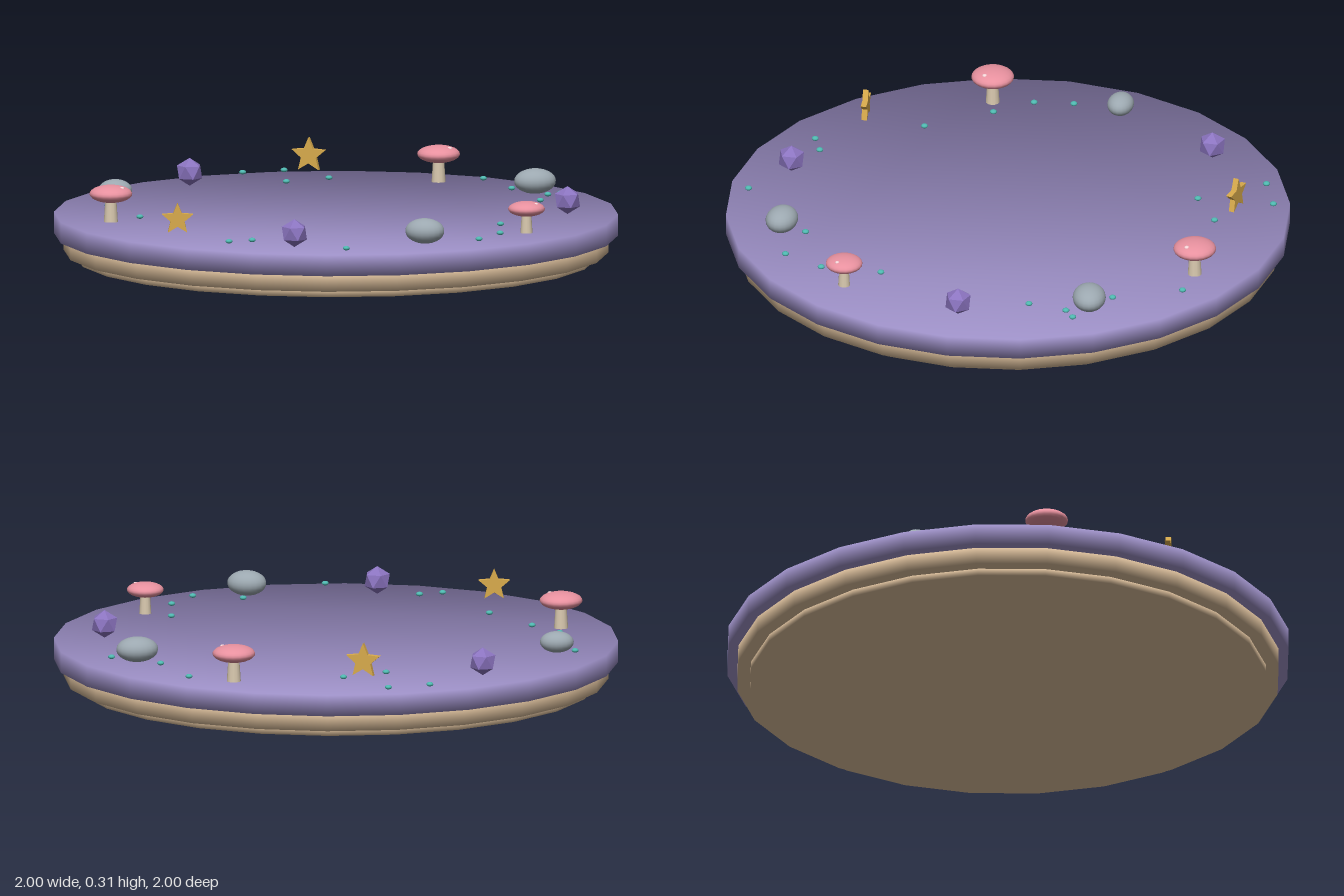
import * as THREE from 'three';

const mat = (color, opts = {}) => new THREE.MeshStandardMaterial({ color, ...opts });
const materials = {
  turf: mat(0x9b8ec4),
  earth: mat(0xd4b896),
  cap: mat(0xe8919f),
  stem: mat(0xd8c8ae),
  spot: mat(0xf6d5d8),
  stone: mat(0x9ca8b0),
  crystal: mat(0x8b74c0, { flatShading: true }),
  star: mat(0xd9ab4c),
  bead: mat(0x4fb8b0),
};
const GROUND = 0.162;

function add(parent, name, geometry, material, x = 0, y = 0, z = 0) {
  const mesh = new THREE.Mesh(geometry, material);
  mesh.name = name;
  mesh.position.set(x, y, z);
  parent.add(mesh);
  return mesh;
}

// 24-sided slab whose normals lean outwards at the rim, for a soft pillowy shading
function slab(radius, y0, y1) {
  const ring = Array.from({ length: 24 }, (_, i) => {
    const a = (i / 24) * Math.PI * 2;
    return new THREE.Vector2(Math.sin(a) * radius, Math.cos(a) * radius);
  });
  const geometry = new THREE.ExtrudeGeometry(new THREE.Shape(ring), { depth: y1 - y0, bevelEnabled: false });
  geometry.rotateX(-Math.PI / 2).translate(0, y0, 0);
  const p = geometry.attributes.position;
  const n = new THREE.Vector3();
  for (let i = 0; i < p.count; i++) {
    n.set(p.getX(i) / radius, p.getY(i) > (y0 + y1) / 2 ? 1 : -1, p.getZ(i) / radius).normalize();
    geometry.attributes.normal.setXYZ(i, n.x, n.y, n.z);
  }
  return geometry;
}

// Flattened or stretched ball
const ellipsoid = (rx, ry, rz) => new THREE.SphereGeometry(1, 20, 14).scale(rx, ry, rz);

function mushroom(x, z, size) {
  const group = new THREE.Group();
  group.name = 'mushroom';
  group.position.set(x, GROUND, z);
  group.scale.setScalar(size);
  add(group, 'mushroomStem', new THREE.CylinderGeometry(0.019, 0.025, 0.09, 12), materials.stem, 0, 0.045, 0);
  add(group, 'mushroomCap', ellipsoid(0.076, 0.031, 0.076), materials.cap, 0, 0.1, 0);
  add(group, 'capSpot', ellipsoid(0.009, 0.006, 0.009), materials.spot, 0.04, 0.122, 0.02);
  return group;
}

// Five-pointed star standing upright, extruded through its thickness
function starGeometry(radius) {
  const points = Array.from({ length: 10 }, (_, i) => {
    const r = i % 2 ? radius * 0.45 : radius;
    const a = Math.PI / 2 + (i * Math.PI) / 5;
    return new THREE.Vector2(Math.cos(a) * r, Math.sin(a) * r);
  });
  const depth = 0.02;
  return new THREE.ExtrudeGeometry(new THREE.Shape(points), { depth, bevelEnabled: false })
    .translate(0, 0, -depth / 2);
}

export function createModel() {
  const model = new THREE.Group();
  model.name = 'islandBase';

  // Stacked base
  add(model, 'topSlab', slab(1, 0.087, GROUND), materials.turf);
  add(model, 'middleSlab', slab(0.965, 0.026, 0.088), materials.earth);
  add(model, 'bottomSlab', slab(0.92, 0, 0.027), materials.earth);

  // Mushrooms: x, z, size
  for (const m of [[0.338, -0.752, 1], [-0.79, 0.23, 1], [0.69, 0.442, 0.86]]) model.add(mushroom(...m));

  // Pebbles: x, z, half sizes, turn
  for (const [x, z, rx, ry, rz, turn] of [
    [0.69, -0.447, 0.075, 0.045, 0.059, 0.2],
    [-0.79, -0.234, 0.06, 0.038, 0.047, 0],
    [0.34, 0.745, 0.07, 0.045, 0.056, -0.15],
  ]) {
    add(model, 'pebble', ellipsoid(rx, ry, rz), materials.stone, x, 0.168 + ry, z).rotation.y = turn;
  }

  // Faceted crystals, each with a corner pointing up
  const crystal = new THREE.IcosahedronGeometry(0.05, 0).rotateZ(Math.atan(2 / (1 + Math.sqrt(5))));
  for (const [x, z] of [[-0.54, -0.622], [0.82, 0], [-0.12, 0.812]]) {
    add(model, 'crystal', crystal, materials.crystal, x, 0.213, z);
  }

  // Stars: x, y, z, radius, turn
  for (const [x, y, z, r, turn] of [
    [-0.54, 0.234, 0.635, 0.058, 0.06],
    [-0.123, 0.248, -0.8, 0.064, -0.24],
  ]) {
    add(model, 'star', starGeometry(r), materials.star, x, y, z).rotation.y = turn;
  }

  // Scattered beads: x, z
  const bead = new THREE.SphereGeometry(1, 12, 8).scale(0.0125, 0.008, 0.0125);
  for (const [x, z] of [
    [-0.215, -0.915], [-0.36, -0.858], [-0.05, -0.738], [-0.198, -0.645], [0.497, -0.743],
    [0.605, -0.513], [0.782, -0.407], [0.738, -0.373], [0.716, -0.234], [-0.855, -0.24],
    [-0.81, -0.06], [-0.79, 0.08], [-0.688, 0.205], [-0.53, 0.42], [-0.353, 0.777],
    [-0.272, 0.743], [0.068, 0.926], [0.35, 0.657], [0.53, 0.69], [0.6, 0.545], [0.594, 0.33],
  ]) {
    add(model, 'bead', bead, materials.bead, x, 0.177, z);
  }
  return model;
}
